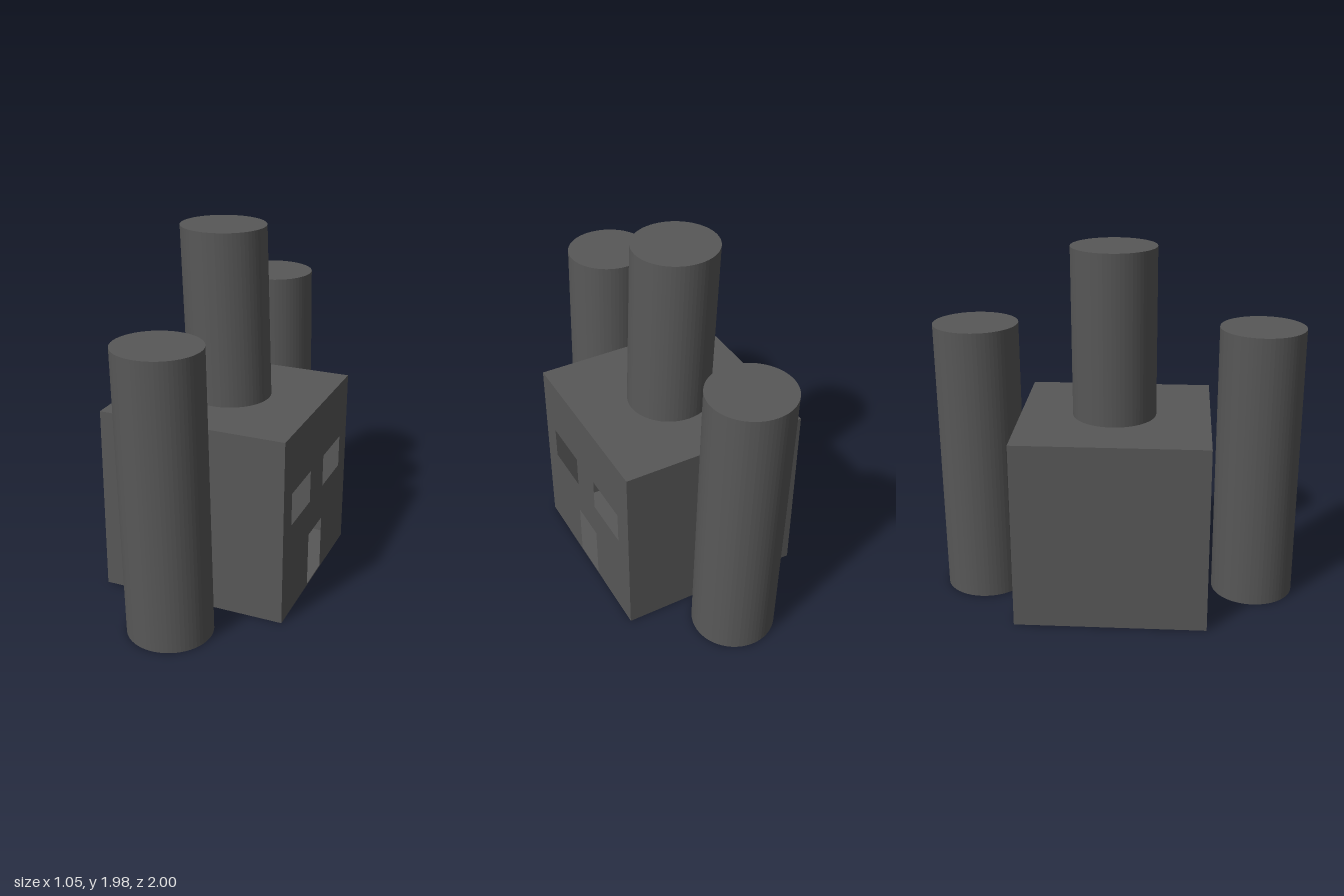
import * as THREE from 'three';

const wallMaterial = new THREE.MeshStandardMaterial({ color: 0x585858, side: THREE.DoubleSide });
const towerMaterial = new THREE.MeshStandardMaterial({ color: 0x585858, flatShading: true });

// Room extents
const HALF_X = 0.523, HEIGHT = 1.046, Z_BACK = -0.54, Z_FRONT = 0.506;

function rectangle(PathType, x0, y0, x1, y1) {
  return new PathType([[x0, y0], [x1, y0], [x1, y1], [x0, y1]].map(([x, y]) => new THREE.Vector2(x, y)));
}

// Closed cylinder whose level top is shifted sideways, so it leans toward -x
function leaningTower(name, z, base, top) {
  const height = top - base;
  const geometry = new THREE.CylinderGeometry(0.23, 0.23, height, 64);
  geometry.translate(0, height / 2, 0);
  const shear = new THREE.Matrix4().set(
    1, -0.037 / height, 0, 0,
    0, 1, 0, 0,
    0, 0, 1, 0,
    0, 0, 0, 1
  );
  geometry.applyMatrix4(shear);
  const mesh = new THREE.Mesh(geometry, towerMaterial);
  mesh.name = name;
  mesh.position.set(0, base, z);
  return mesh;
}

export function createModel() {
  const model = new THREE.Group();
  model.name = 'castle';

  // Hollow thin-walled room, with its +x side left open for the pierced wall
  const roomGeometry = new THREE.BoxGeometry(2 * HALF_X, HEIGHT, Z_FRONT - Z_BACK);
  roomGeometry.setIndex(Array.from(roomGeometry.index.array).slice(6));
  roomGeometry.clearGroups();
  const room = new THREE.Mesh(roomGeometry, wallMaterial);
  room.name = 'roomShell';
  room.position.set(0, HEIGHT / 2, (Z_FRONT + Z_BACK) / 2);
  model.add(room);

  // Thin wall with two windows and a doorway, drawn with shape x = -z
  const wallShape = rectangle(THREE.Shape, -Z_FRONT, 0, -Z_BACK, HEIGHT);
  wallShape.holes.push(
    rectangle(THREE.Path, -0.385, 0.525, -0.09, 0.71),
    rectangle(THREE.Path, 0.123, 0.525, 0.418, 0.71),
    rectangle(THREE.Path, -0.095, 0.008, 0.125, 0.322)
  );
  const wall = new THREE.Mesh(new THREE.ShapeGeometry(wallShape), wallMaterial);
  wall.name = 'doorAndWindowWall';
  wall.rotation.y = Math.PI / 2;
  wall.position.x = HALF_X;
  model.add(wall);

  // Towers
  model.add(
    leaningTower('frontTower', 0.77, 0, 1.56),
    leaningTower('backTower', -0.77, 0, 1.56),
    leaningTower('roofTower', -0.023, HEIGHT, 1.984)
  );

  return model;
}
